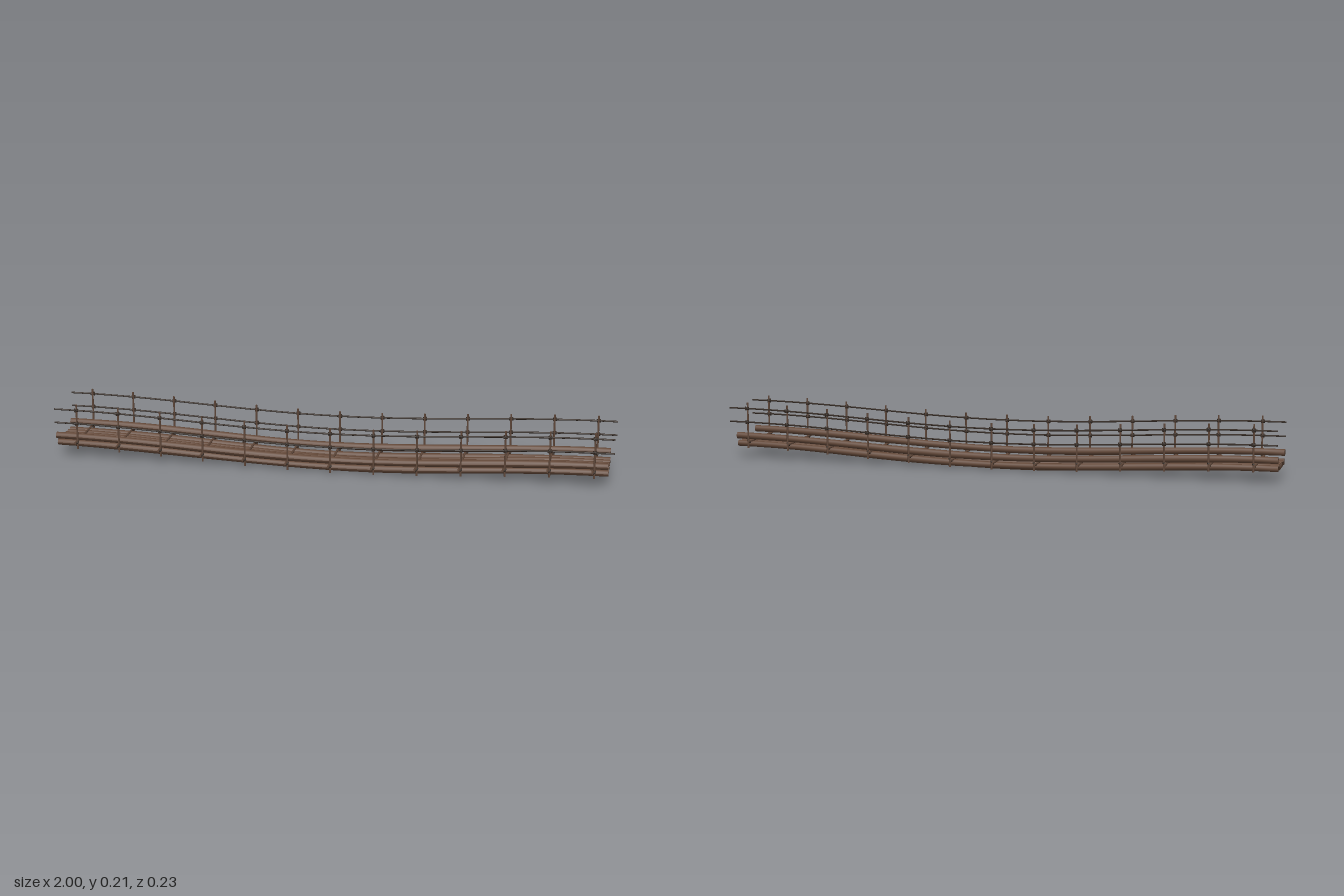
import * as THREE from 'three';

const mat = (name, color) => {
  const m = new THREE.MeshStandardMaterial({ color });
  m.name = name;
  return m;
};

// Downward sag of the whole bridge at position x
const sag = (x) => 0.0177 * (1 + Math.cos(Math.PI * x));

export function createModel() {
  const bark = mat('log brown', 0x634838);
  const cut = mat('cut end brown', 0x553e30);
  const pole = mat('pole brown', 0x60483a);
  const rope = mat('rope dark', 0x362c25);
  const log = [bark, cut, cut];
  const bridge = new THREE.Group();
  bridge.name = 'ropeBridge';

  const add = (name, geometry, material, x = 0, y = 0, z = 0) => {
    const mesh = new THREE.Mesh(geometry, material);
    mesh.name = name;
    mesh.position.set(x, y, z);
    bridge.add(mesh);
    return mesh;
  };

  // Long sagging cylinder along x, with a slight natural wobble
  const beam = (x0, x1, y, z, r, sides, wobble, seed, dip = 1) => {
    const g = new THREE.CylinderGeometry(r, r, x1 - x0, sides, 26);
    g.rotateZ(-Math.PI / 2);
    g.translate((x0 + x1) / 2, 0, 0);
    const p = g.attributes.position;
    for (let i = 0; i < p.count; i++) {
      const x = p.getX(i);
      const fade = Math.min(1, (1 - Math.abs(x)) * 5);
      const fat = 1 + wobble * fade * (0.08 + 0.1 * Math.sin(x * 7 + seed * 2.3));
      const sway = wobble * fade * 0.0015 * Math.sin(x * 5 + seed * 1.7);
      p.setXYZ(i, x, p.getY(i) * fat + y - sag(x) * dip, p.getZ(i) * fat + z + sway);
    }
    g.computeVertexNormals();
    return g;
  };

  // Deck logs, one of them hanging a little lower
  [0.07, 0.04, 0.0115, -0.017, -0.045, -0.073].forEach((z, i) => {
    add('deckLog', beam(-1, 0.98, 0.053, z, 0.0112, 10, 1, i, i === 4 ? 1.16 : 1), log);
  });

  // Kerb logs lying on the cross poles
  add('kerbLog', beam(-1, 0.98, 0.083, 0.086, 0.0118, 10, 0.8, 7), log);
  add('kerbLog', beam(-1, 0.98, 0.083, -0.083, 0.0118, 10, 0.8, 8), log);

  // Two hand ropes on each side
  for (const side of [1, -1])
    for (const y of [0.187, 0.137])
      add('handRope', beam(-1, 1, y, side * 0.105, 0.003, 6, 0, 0), rope);

  // Cross poles, posts and lashings at each station
  const postGeo = new THREE.CylinderGeometry(0.0033, 0.0036, 0.166, 7);
  const crossGeo = new THREE.CylinderGeometry(0.004, 0.004, 0.23, 7).rotateX(Math.PI / 2);
  const knotGeo = new THREE.TorusGeometry(0.0065, 0.0025, 6, 12).rotateX(Math.PI / 2);
  for (let i = 0; i < 13; i++) {
    const x = -0.92 + i * 0.1542;
    const d = sag(x);
    add('crossPole', crossGeo, pole, x - 0.004, 0.0655 - d, 0);
    for (const side of [1, -1]) {
      const z = side > 0 ? 0.101 : -0.098;
      add('post', postGeo, pole, x + 0.002, 0.124 - d, z);
      for (const y of [0.187, 0.137]) {
        for (const turn of [-1, 1]) {
          const knot = add('ropeKnot', knotGeo, rope, x + 0.002, y - d, side * 0.105);
          knot.rotation.set(turn * 0.6, 0, turn * 0.6);
        }
      }
      const lash = add('poleLashing', knotGeo, rope, x, 0.0655 - d, z);
      lash.rotation.set(0.6, 0, 0.6);
    }
  }
  return bridge;
}
